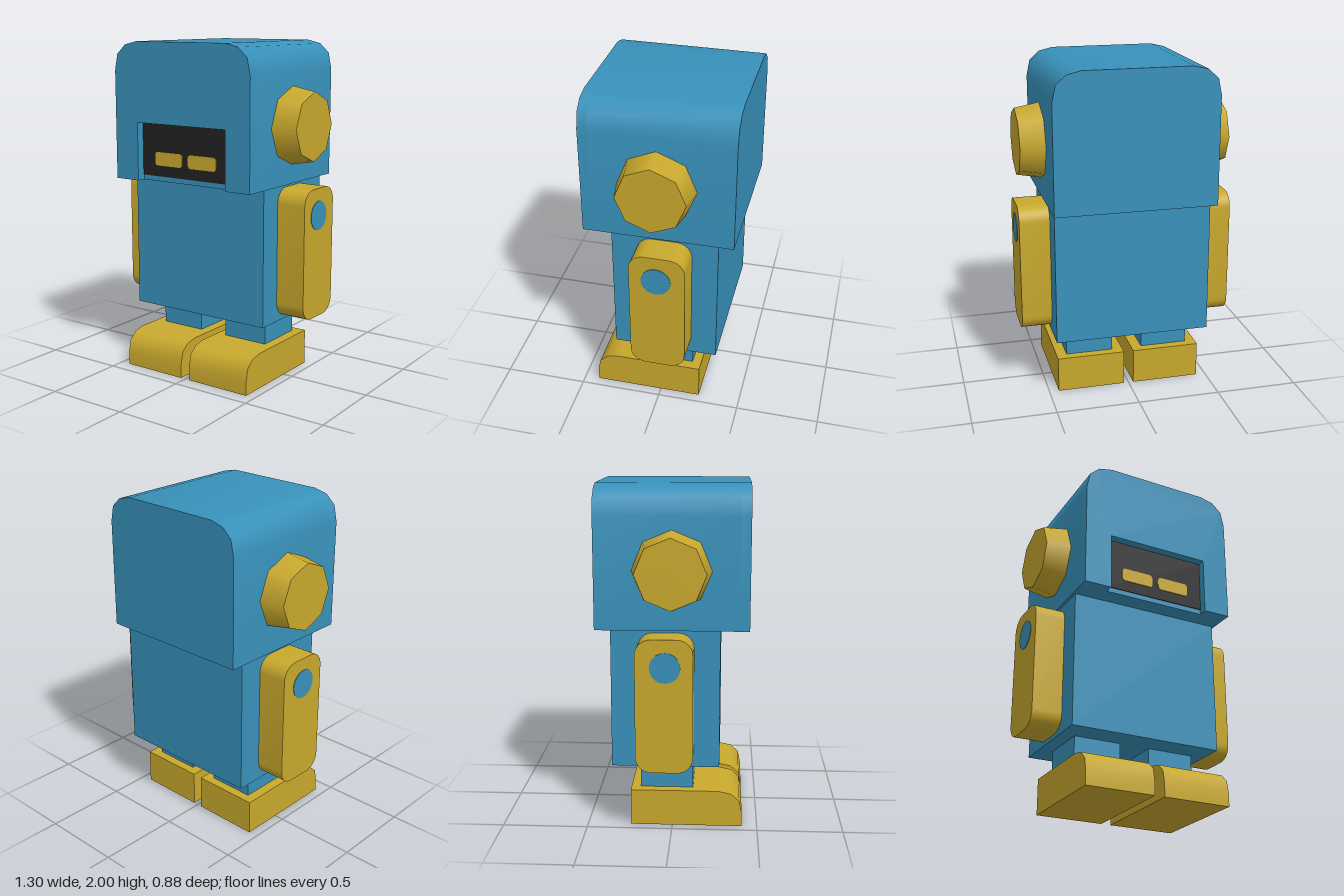
import * as THREE from 'three';
import { toCreasedNormals } from 'three/addons/utils/BufferGeometryUtils.js';

const paint = (name, color) => {
  const m = new THREE.MeshStandardMaterial({ color });
  m.name = name;
  return m;
};

// Rectangle with rounded corners, centred on (cx, cy)
function roundedRect(cx, cy, w, h, r) {
  const s = new THREE.Shape();
  const x = w / 2 - r, y = h / 2 - r;
  s.absarc(cx + x, cy + y, r, 0, Math.PI / 2);
  s.absarc(cx - x, cy + y, r, Math.PI / 2, Math.PI);
  s.absarc(cx - x, cy - y, r, Math.PI, Math.PI * 1.5);
  s.absarc(cx + x, cy - y, r, Math.PI * 1.5, Math.PI * 2);
  s.closePath();
  return s;
}

const polygon = (pts) => new THREE.Shape(pts.map(([x, y]) => new THREE.Vector2(x, y)));

// Extrusion along z from z0 to z1, smooth over gentle bends
function extrudeZ(shape, z0, z1) {
  const g = new THREE.ExtrudeGeometry(shape, { depth: z1 - z0, bevelEnabled: false, curveSegments: 4 });
  g.translate(0, 0, z0);
  return toCreasedNormals(g, 0.7);
}

// Extrusion along x from x0 to x1 of a shape drawn as (z, y)
function extrudeX(shape, x0, x1) {
  return extrudeZ(shape, -x1, -x0).rotateY(-Math.PI / 2);
}

function box(x0, x1, y0, y1, z0, z1) {
  return new THREE.BoxGeometry(x1 - x0, y1 - y0, z1 - z0)
    .translate((x0 + x1) / 2, (y0 + y1) / 2, (z0 + z1) / 2);
}

export function createModel() {
  const blue = paint('blue', 0x3891ba);
  const yellow = paint('yellow', 0xc8a82d);
  const black = paint('black', 0x222222);
  const model = new THREE.Group();
  model.name = 'robot';
  const add = (name, geometry, material, parent = model) => {
    const m = new THREE.Mesh(geometry, material);
    m.name = name;
    parent.add(m);
  };

  // Head: arched block with a notch in the front for the face
  const head = new THREE.Group();
  head.name = 'head';
  model.add(head);
  const corner = [[0.48, 1.185], [0.48, 1.83], [0.46, 1.925], [0.4, 1.98], [0.315, 2]];
  const arch = [...corner, ...corner.map(([x, y]) => [-x, y]).reverse()];
  const notch = [[-0.315, 1.185], [-0.315, 1.53], [0.315, 1.53], [0.315, 1.185]];
  add('headShell', extrudeZ(polygon(arch), -0.44, 0.385), blue, head);
  add('headFront', extrudeZ(polygon([...arch, ...notch]), 0.385, 0.44), blue, head);
  add('facePlate', box(-0.315, 0.315, 1.215, 1.53, 0.382, 0.39), black, head);

  // Body
  add('body', box(-0.465, 0.465, 0.375, 1.185, -0.35, 0.275), blue);

  // Paired parts on both sides
  const footProfile = [[-0.245, 0], [0.41, 0], [0.41, 0.08], [0.395, 0.155], [0.345, 0.2], [0.27, 0.215], [-0.245, 0.215]];
  for (const [side, s] of [['left', 1], ['right', -1]]) {
    const span = (a, b) => (s > 0 ? [a, b] : [-b, -a]);

    add(`${side}Eye`, extrudeZ(roundedRect(s * 0.12, 1.32, 0.2, 0.08, 0.02), 0.388, 0.395), yellow, head);

    const ear = new THREE.CylinderGeometry(0.2, 0.227, 0.145, 8)
      .rotateZ(-s * Math.PI / 2).translate(s * 0.5525, 1.525, 0);
    add(`${side}Ear`, ear, yellow, head);

    add(`${side}Arm`, extrudeX(roundedRect(-0.035, 0.785, 0.325, 0.77, 0.09), ...span(0.465, 0.645)), yellow);
    const disc = new THREE.CylinderGeometry(0.087, 0.087, 0.006, 20)
      .rotateZ(Math.PI / 2).translate(s * 0.645, 1.01, -0.03);
    add(`${side}ShoulderDisc`, disc, blue);

    add(`${side}Leg`, box(...span(0.093, 0.38), 0.21, 0.38, -0.19, 0.12), blue);
    add(`${side}Foot`, extrudeX(polygon(footProfile), ...span(0.03, 0.442)), yellow);
  }
  return model;
}
